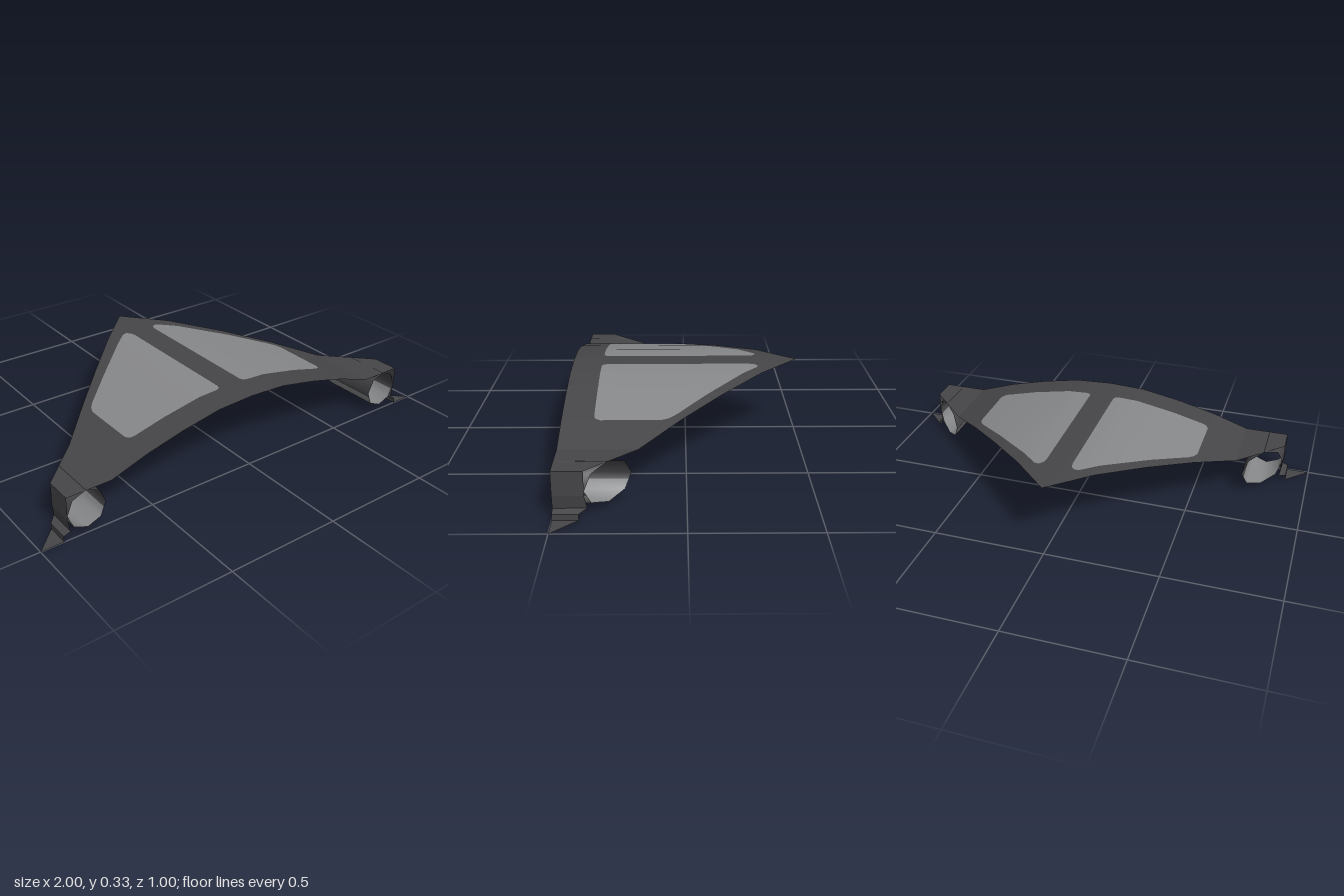
import * as THREE from 'three';

const REAR = 0.5;                                // straight edge of the delta
const edge = (x) => Math.abs(x) - 0.5;           // slanted edges of the delta

const frameMat = new THREE.MeshStandardMaterial({ color: 0x464548, side: THREE.DoubleSide });
frameMat.name = 'dark grey';
const panelMat = new THREE.MeshStandardMaterial({ color: 0x87888a, side: THREE.DoubleSide });
panelMat.name = 'light grey';

// Piecewise linear lookup in rows of [x, a, b, ...]
function lookup(table, x, col) {
  if (x <= table[0][0]) return table[0][col];
  for (let i = 1; i < table.length; i++) {
    const p = table[i - 1], q = table[i];
    if (x <= q[0]) return p[col] + (q[col] - p[col]) * (x - p[0]) / (q[0] - p[0]);
  }
  return table[table.length - 1][col];
}

// Sheet joining rows of points; isLight(row, column) picks the colour of a cell
function sheet(name, rows, isLight, flat = false) {
  const cols = rows[0].length, dark = [], light = [];
  for (let i = 0; i < rows.length - 1; i++) {
    for (let j = 0; j < cols - 1; j++) {
      const a = i * cols + j, b = a + cols;
      (isLight(i, j) ? light : dark).push(a, a + 1, b, b, a + 1, b + 1);
    }
  }
  let geo = new THREE.BufferGeometry();
  geo.setAttribute('position', new THREE.Float32BufferAttribute(rows.flat(2), 3));
  geo.setIndex([...dark, ...light]);
  geo.addGroup(0, dark.length, 0);
  geo.addGroup(dark.length, light.length, 1);
  if (flat) {
    const groups = geo.groups;
    geo = geo.toNonIndexed();
    geo.groups = groups;
  }
  geo.computeVertexNormals();
  const mesh = new THREE.Mesh(geo, [frameMat, panelMat]);
  mesh.name = name;
  return mesh;
}

// Height of the arched wing by distance from the centre
const arch = [[0, 0.33], [0.17, 0.322], [0.35, 0.288], [0.52, 0.245], [0.685, 0.19]];
// Rounded panel outline: distance from the centre, slanted end, straight end
const panel = [
  [0.058, -0.28, 0.345], [0.064, -0.305, 0.362], [0.08, -0.32, 0.37], [0.1, -0.315, 0.37],
  [0.49, 0.045, 0.37], [0.51, 0.07, 0.365], [0.521, 0.1, 0.345],
];

function buildWing() {
  const half = [...arch, ...panel].map((p) => p[0]).sort((a, b) => a - b);
  const xs = [...half.slice(1).reverse().map((x) => -x), ...half];
  const rows = xs.map((x) => {
    const d = Math.abs(x), y = lookup(arch, d, 1);
    const start = Math.max(lookup(panel, d, 1), edge(x) + 0.02);
    return [edge(x), start, lookup(panel, d, 2), REAR].map((z) => [x, y, z]);
  });
  const inPanel = (i, j) => {
    const d = Math.abs(xs[i] + xs[i + 1]) / 2;
    return j === 1 && d > 0.058 && d < 0.521;
  };
  return sheet('wing', rows, inPanel);
}

// Folded strip at the wing end, stepping down to a pointed foot
function buildBracket(side) {
  const profile = [[0.685, 0.19], [0.88, 0.19], [0.88, 0.09], [0.87, 0.035], [0.9, 0.025], [0.9, 0], [1, 0]];
  const rows = profile.map(([x, y]) => [edge(x), REAR].map((z) => [x * side, y, z]));
  return sheet('bracket', rows, () => false, true);
}

// Open eight-sided tube under the bracket, cut along the slanted edge
function buildTube(side) {
  const r = 0.0835, cx = 0.796, cy = 0.108;
  const corner = (k) => {
    const a = Math.PI / 2 + k * Math.PI / 4;
    return [cx + r * Math.cos(a), cy + r * Math.sin(a)];
  };
  const between = (p, q, t) => [p[0] + (q[0] - p[0]) * t, p[1] + (q[1] - p[1]) * t];
  const ring = [];
  for (let k = 0; k <= 8; k++) {
    ring.push(corner(k));
    if (k === 2) ring.push(between(corner(2), corner(3), 0.39));
    if (k === 5) ring.push(between(corner(5), corner(6), 0.61));
  }
  const rows = ring.map(([x, y]) => [edge(x), REAR].map((z) => [x * side, y, z]));
  return sheet('tube', rows, (i) => i >= 3 && i <= 6);
}

export function createModel() {
  const group = new THREE.Group();
  group.name = 'deltaWing';
  group.add(buildWing());
  for (const side of [1, -1]) {
    const end = new THREE.Group();
    end.name = side > 0 ? 'leftWingEnd' : 'rightWingEnd';
    end.add(buildBracket(side), buildTube(side));
    group.add(end);
  }
  return group;
}
